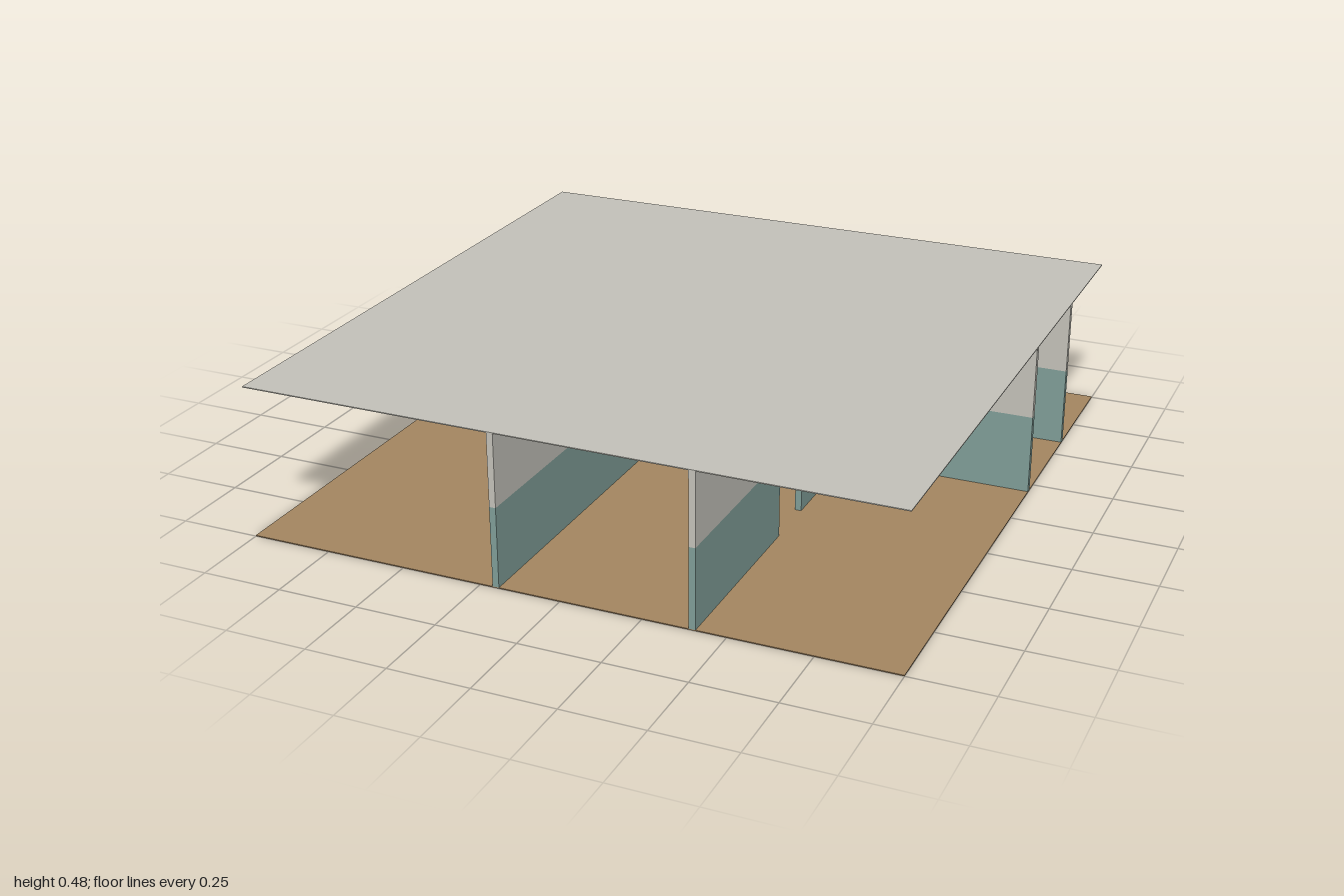
import * as THREE from 'three';

const HEIGHT = 0.477; // underside to top of the storey
const DADO = 0.25;    // height of the painted lower band
const SLAB = 0.003;
const T = 0.02;       // wall thickness

const material = (name, color) => {
  const m = new THREE.MeshStandardMaterial({ color });
  m.name = name;
  return m;
};

export function createModel() {
  const model = new THREE.Group();
  model.name = 'roomLayout';
  const plaster = material('plasterGrey', 0xc3c1b9);
  const teal = material('dadoTeal', 0x809d97);
  const wood = material('floorBrown', 0xa48660);

  // Box given by its limits on each axis
  const box = (parent, name, mat, x0, x1, y0, y1, z0, z1) => {
    const mesh = new THREE.Mesh(new THREE.BoxGeometry(x1 - x0, y1 - y0, z1 - z0), mat);
    mesh.position.set((x0 + x1) / 2, (y0 + y1) / 2, (z0 + z1) / 2);
    mesh.name = name;
    parent.add(mesh);
  };

  // Upright piece with a teal lower band and plaster above
  const twoTone = (parent, x0, x1, z0, z1) => {
    box(parent, 'lowerBand', teal, x0, x1, 0, DADO, z0, z1);
    box(parent, 'upperBand', plaster, x0, x1, DADO, HEIGHT, z0, z1);
  };
  const group = (name) => {
    const g = new THREE.Group();
    g.name = name;
    model.add(g);
    return g;
  };

  // Floor and ceiling slabs
  box(model, 'floor', wood, -1, 1, 0, SLAB, -1, 1);
  box(model, 'ceiling', plaster, -1, 1, HEIGHT - SLAB, HEIGHT, -1, 1);

  // Walls running across: z, then x ranges between the doorways
  const crossWalls = [
    [-0.2, [[-1, 0.21], [0.39, 1]]],
    [-0.6, [[-1, -0.59], [-0.41, -0.19], [-0.01, 1]]],
  ];
  for (const [z, spans] of crossWalls) {
    const g = group('crossWall');
    for (const [a, b] of spans) twoTone(g, a, b, z - T / 2, z + T / 2);
  }

  // Walls running front to back: x, then z ranges between the doorways
  const longWalls = [
    [-0.2, [[-0.19, 1]]],
    [0.4, [[-1, -0.99], [-0.81, -0.61], [-0.19, 0.21], [0.39, 1]]],
  ];
  for (const [x, spans] of longWalls) {
    const g = group('partitionWall');
    for (const [a, b] of spans) twoTone(g, x - T / 2, x + T / 2, a, b);
  }

  // Channel-shaped columns on the back edge, open outwards
  for (const x of [-0.8, -0.2]) {
    const g = group('backColumn');
    twoTone(g, x - 0.04, x + 0.04, -0.975, -0.957);
    for (const s of [-1, 1]) twoTone(g, x + s * 0.032 - 0.008, x + s * 0.032 + 0.008, -1, -0.975);
  }
  return model;
}
